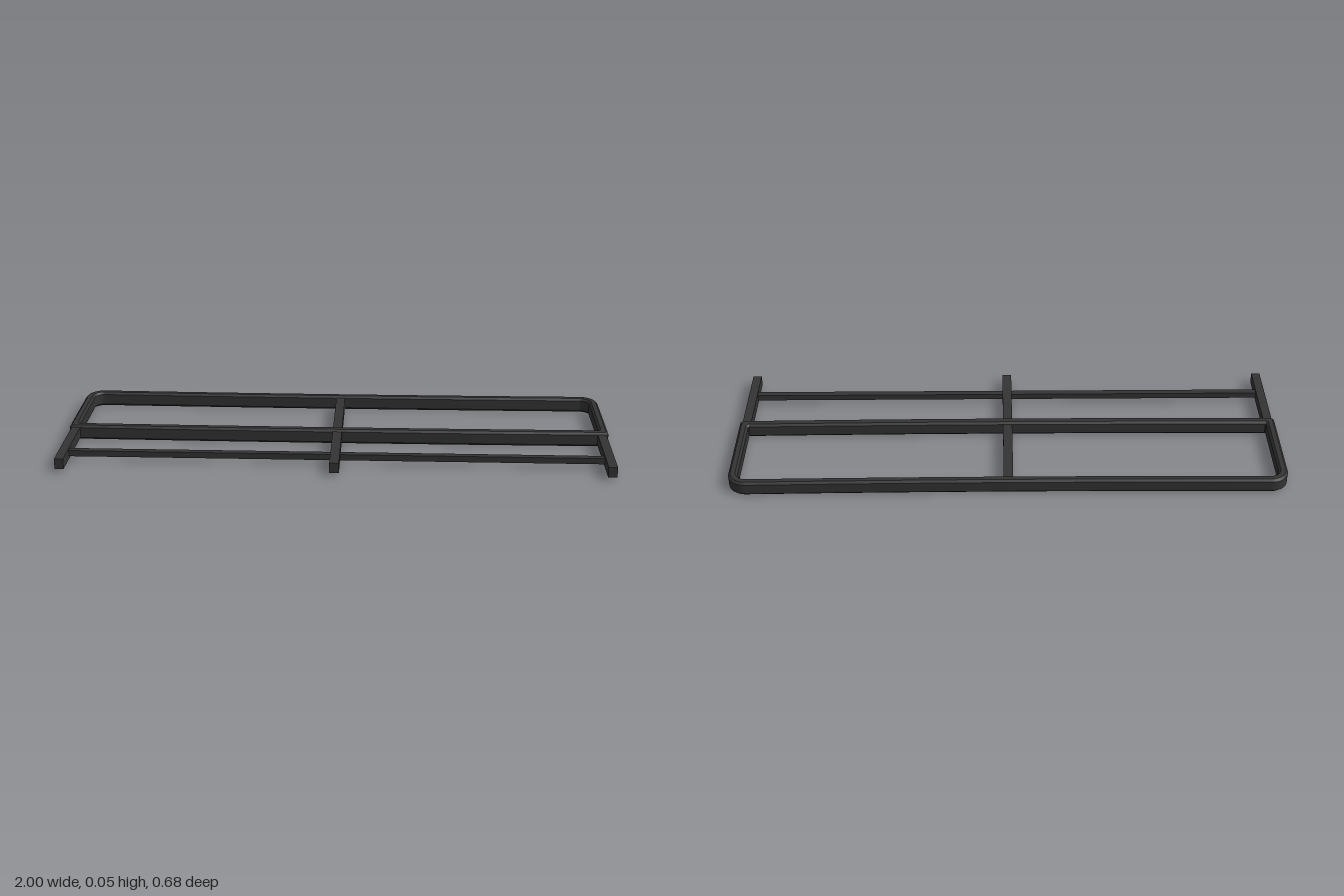
import * as THREE from 'three';

const HEIGHT = 0.055;
const BEVEL = 0.008;

// Rounded-back outline, drawn as (x, z); both long edges bow slightly towards the front
function trace(path, halfWidth, back, front, radius, chamfer, bow) {
  const w = halfWidth;
  path.moveTo(-w, back + radius);
  path.absarc(-w + radius, back + radius, radius, Math.PI, Math.PI * 1.5, false);
  path.quadraticCurveTo(0, back + 2 * bow, w - radius, back);
  path.absarc(w - radius, back + radius, radius, -Math.PI / 2, 0, false);
  path.lineTo(w, front - chamfer);
  path.lineTo(w - chamfer, front);
  path.quadraticCurveTo(0, front + 2 * bow, -w + chamfer, front);
  path.lineTo(-w, front - chamfer);
  path.closePath();
  return path;
}

export function createModel() {
  const group = new THREE.Group();
  const material = new THREE.MeshStandardMaterial({ color: 0x333333 });

  function add(name, geometry, x = 0, y = 0, z = 0) {
    const mesh = new THREE.Mesh(geometry, material);
    mesh.name = name;
    mesh.position.set(x, y, z);
    group.add(mesh);
  }

  // Main frame: a closed, chamfered loop with rounded rear corners
  const outline = trace(new THREE.Shape(), 1, -0.34, 0.042, 0.065, 0.008, 0.007);
  outline.holes.push(trace(new THREE.Path(), 0.967, -0.307, 0.007, 0.034, 0.003, 0.006));
  const frame = new THREE.ExtrudeGeometry(outline, {
    depth: HEIGHT - 2 * BEVEL,
    bevelEnabled: true,
    bevelSegments: 1,
    bevelSize: BEVEL,
    bevelThickness: BEVEL,
    bevelOffset: -BEVEL,
    curveSegments: 12,
  });
  frame.rotateX(Math.PI / 2).translate(0, HEIGHT - BEVEL, 0);
  add('mainFrame', frame);

  // Side arms running forward out of the frame
  for (const [name, side] of [['leftArm', 1], ['rightArm', -1]]) {
    add(name, new THREE.BoxGeometry(0.032, 0.038, 0.32), side * 0.976, 0.029, 0.18);
  }

  // Centre strut from the rear rail to the front
  add('centreStrut', new THREE.BoxGeometry(0.034, 0.038, 0.66), 0, 0.029, 0.01);

  // Thin cross bar between the arms
  add('crossBar', new THREE.BoxGeometry(1.94, 0.022, 0.024), 0, 0.029, 0.232);

  return group;
}
